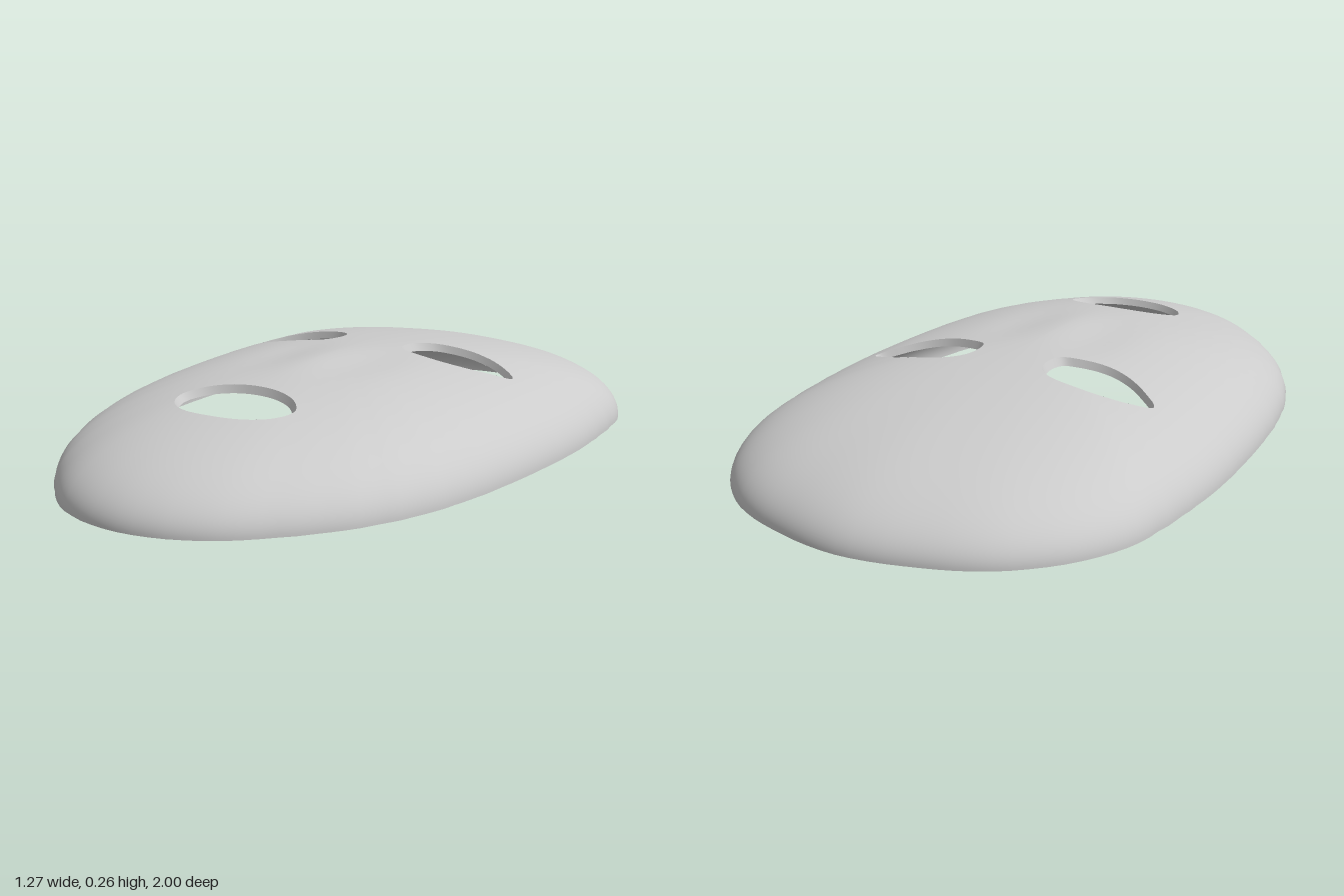
import * as THREE from 'three';
import { mergeVertices } from 'three/addons/utils/BufferGeometryUtils.js';

const HEIGHT = 0.258, WALL = 0.022, RINGS = 56, SECTORS = 144;

// Smooth closed loop in the ground plane through [x, z] points
function loop(points, count) {
  const curve = new THREE.CatmullRomCurve3(points.map(([x, z]) => new THREE.Vector3(x, 0, z)), true);
  return curve.getPoints(count).slice(0, count).map(p => [p.x, p.z]);
}

// Face outline: half the points, mirrored in x
const half = [[0.2, -0.965], [0.36, -0.9], [0.48, -0.8], [0.552, -0.7], [0.593, -0.6], [0.622, -0.4],
  [0.633, -0.2], [0.626, 0], [0.608, 0.2], [0.575, 0.4], [0.508, 0.6], [0.375, 0.8], [0.2, 0.95]];
const outline = loop([[0, -1], ...half, [0, 1], ...half.map(([x, z]) => [-x, z]).reverse()], 720);

// Outline radius by angle, as an evenly spaced table
const radii = Array.from({ length: 720 }, (_, k) => {
  const c = Math.cos(k * Math.PI / 360), s = Math.sin(k * Math.PI / 360);
  let best = -2, radius = 1;
  for (const [x, z] of outline) {
    const r = Math.hypot(x, z), match = (x * c + z * s) / r;
    if (match > best) { best = match; radius = r; }
  }
  return radius;
});
function outlineRadius(angle) {
  const f = ((angle / Math.PI * 360) % 720 + 720) % 720, i = Math.floor(f);
  return THREE.MathUtils.lerp(radii[i % 720], radii[(i + 1) % 720], f - i);
}

// Openings: eyes and mouth
const eyePoints = [[0.44, -0.192], [0.39, -0.237], [0.32, -0.264], [0.24, -0.27], [0.16, -0.255], [0.118, -0.215],
  [0.11, -0.16], [0.125, -0.118], [0.17, -0.1], [0.25, -0.09], [0.32, -0.105], [0.39, -0.145]];
const mouthPoints = [[0.178, 0.515], [0.145, 0.465], [0.08, 0.432], [0, 0.422], [-0.08, 0.432], [-0.145, 0.465],
  [-0.178, 0.515], [-0.155, 0.575], [-0.09, 0.618], [0, 0.631], [0.09, 0.618], [0.155, 0.575]];
const openings = [
  { name: 'leftEyeRim', centre: [0.265, -0.18], points: loop(eyePoints, 72) },
  { name: 'rightEyeRim', centre: [-0.265, -0.18], points: loop(eyePoints.map(([x, z]) => [-x, z]), 72) },
  { name: 'mouthRim', centre: [0, 0.525], points: loop(mouthPoints, 72) },
];
// The openings narrow slightly towards the inside
const narrowed = ({ centre: [cx, cz], points }) => points.map(([x, z]) => [cx + (x - cx) * 0.93, cz + (z - cz) * 0.92]);

function inside([x, z], polygon) {
  let hit = false;
  polygon.forEach(([ax, az], i) => {
    const [bx, bz] = polygon[(i + 1) % polygon.length];
    if ((az > z) !== (bz > z) && x < ax + (z - az) / (bz - az) * (bx - ax)) hit = !hit;
  });
  return hit;
}

// Domed height with a faint nose ridge between shallow hollows
const bump = (x, z, cx, cz, w, l) => Math.exp(-(((x - cx) / w) ** 2) - ((z - cz) / l) ** 2);
const innerScale = 0.972;
function height(x, z, inner) {
  const rho = Math.hypot(x, z) / (outlineRadius(Math.atan2(z, x)) * (inner ? innerScale : 1));
  const dome = (HEIGHT - (inner ? WALL : 0)) * Math.sqrt(Math.max(0, 1 - rho * rho));
  const ax = Math.abs(x);
  return dome + 0.004 * bump(x, z, 0, 0.17, 0.07, 0.15) - 0.006 * bump(ax, z, 0.13, 0.08, 0.08, 0.17);
}

// Cut a flat polygon back to the part outside an opening
function clip(poly, opening) {
  const state = poly.map(p => inside(p, opening));
  if (!state.includes(true)) return poly;
  const out = [];
  poly.forEach((p, i) => {
    const j = (i + 1) % poly.length;
    if (!state[i]) out.push(p);
    if (state[i] !== state[j]) {
      let a = state[i] ? poly[j] : p, b = state[i] ? p : poly[j];
      for (let n = 0; n < 20; n++) {
        const m = [(a[0] + b[0]) / 2, (a[1] + b[1]) / 2];
        if (inside(m, opening)) b = m; else a = m;
      }
      out.push(a);
    }
  });
  return out;
}

function smoothGeometry(positions) {
  const g = new THREE.BufferGeometry();
  g.setAttribute('position', new THREE.Float32BufferAttribute(positions, 3));
  const merged = mergeVertices(g, 1e-5);
  merged.computeVertexNormals();
  return merged;
}

// One skin of the shell: polar grid, with the openings cut out
function skin(inner) {
  const holes = openings.map(o => inner ? narrowed(o) : o.points);
  const scale = inner ? innerScale : 1;
  const at = (i, j) => {
    const a = (j % SECTORS) / SECTORS * Math.PI * 2;
    const r = Math.sin(i / RINGS * Math.PI / 2) * outlineRadius(a) * scale;
    return [Math.cos(a) * r, Math.sin(a) * r];
  };
  const positions = [];
  const add = tri => {
    const poly = holes.reduce((p, hole) => p.length ? clip(p, hole) : p, tri);
    for (let k = 1; k + 1 < poly.length; k++) {
      const corners = inner ? [poly[0], poly[k + 1], poly[k]] : [poly[0], poly[k], poly[k + 1]];
      for (const [x, z] of corners) positions.push(x, Math.max(0, height(x, z, inner)), z);
    }
  };
  for (let i = 0; i < RINGS; i++) for (let j = 0; j < SECTORS; j++) {
    if (i > 0) add([at(i, j), at(i, j + 1), at(i + 1, j)]);
    add([at(i, j + 1), at(i + 1, j + 1), at(i + 1, j)]);
  }
  return smoothGeometry(positions);
}

// Band joining two loops of equal length
function band(outer, inner) {
  const positions = [];
  outer.forEach((a, i) => {
    const k = (i + 1) % outer.length;
    positions.push(...a, ...outer[k], ...inner[i], ...outer[k], ...inner[k], ...inner[i]);
  });
  return smoothGeometry(positions);
}

export function createModel() {
  const model = new THREE.Group();
  model.name = 'mask';
  const material = new THREE.MeshStandardMaterial({ color: 0xcccccc, side: THREE.DoubleSide });
  const add = (name, geometry) => {
    const mesh = new THREE.Mesh(geometry, material);
    mesh.name = name;
    model.add(mesh);
  };
  add('outerFace', skin(false));
  add('innerFace', skin(true));

  // Walls of the eye and mouth openings
  for (const o of openings) {
    const lift = (points, inner) => points.map(([x, z]) => [x, height(x, z, inner), z]);
    add(o.name, band(lift(o.points, false), lift(narrowed(o), true)));
  }

  // Flat edge the mask rests on
  const edge = scale => Array.from({ length: SECTORS }, (_, j) => {
    const a = j / SECTORS * Math.PI * 2, r = outlineRadius(a) * scale;
    return [Math.cos(a) * r, 0, Math.sin(a) * r];
  });
  add('baseEdge', band(edge(1), edge(innerScale)));
  return model;
}
